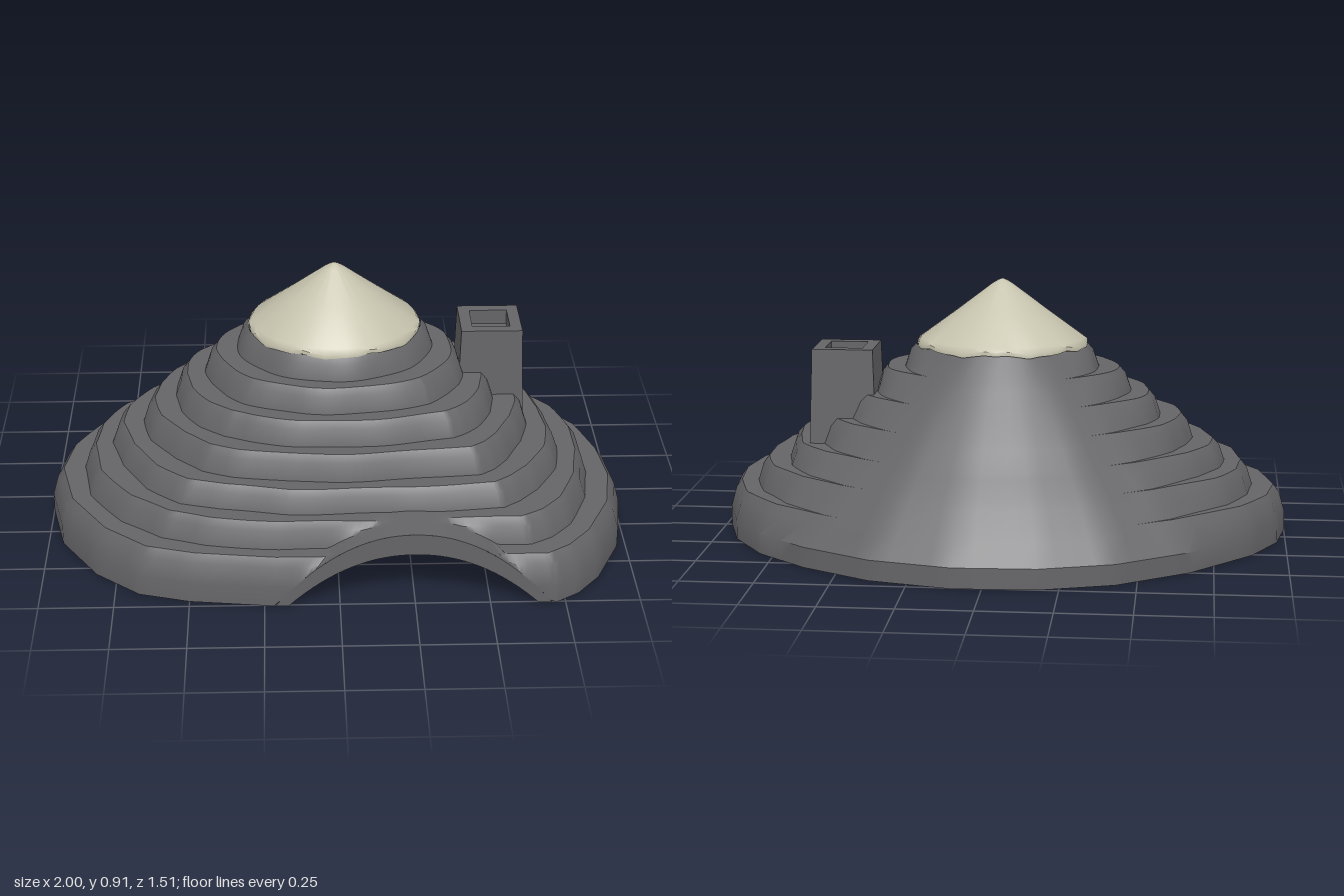
import * as THREE from 'three';
import { toCreasedNormals } from 'three/addons/utils/BufferGeometryUtils.js';

const { lerp, smoothstep } = THREE.MathUtils;

// Grid surface through rows of points; columns run counter-clockwise seen from above
function loft(rows, closed, crease = 0.6) {
  const n = rows[0].length, index = [];
  for (let r = 0; r < rows.length - 1; r++) {
    for (let j = 0; j < (closed ? n : n - 1); j++) {
      const a = r * n + j, b = r * n + (j + 1) % n;
      index.push(a, b, b + n, a, b + n, a + n);
    }
  }
  const g = new THREE.BufferGeometry();
  g.setAttribute('position', new THREE.Float32BufferAttribute(rows.flat(2), 3));
  g.setIndex(index);
  return toCreasedNormals(g, crease);
}

// Eaves outline as [x, z], starting with the straight front edge
const OUTLINE = [
  [-0.22, 0.755], [0.72, 0.755], [0.8, 0.7], [0.88, 0.6], [0.97, 0.4], [1, 0.2], [0.98, 0],
  [0.92, -0.2], [0.8, -0.39], [0.62, -0.55], [0.38, -0.69], [0.1, -0.76], [-0.18, -0.75],
  [-0.43, -0.67], [-0.67, -0.5], [-0.88, -0.26], [-0.97, -0.08], [-1, 0.1], [-0.95, 0.33],
  [-0.82, 0.54], [-0.67, 0.67], [-0.5, 0.72],
];
const LEVELS = [0.07, 0.17, 0.26, 0.34, 0.43, 0.515, 0.6, 0.68];
const ARCH = { x: 0.245, front: 0.755, back: 0.42, inW: 0.415, inH: 0.19, outW: 0.46, outH: 0.265 };

const arc = (k, h) => h * Math.max(0, 1 - Math.abs(k) ** 2.1);

function thatchRoof() {
  // Subdivide the outline, finely along the arched front edge
  const eaves = OUTLINE.flatMap(([x, z], i) => {
    const [x2, z2] = OUTLINE[(i + 1) % OUTLINE.length], n = i ? 4 : 44;
    return Array.from({ length: n }, (_, k) => [lerp(x, x2, k / n), lerp(z, z2, k / n)]);
  });
  // Ring at a given step; steps melt into a plain slope towards the back
  const ring = (y, step, stepped, plain) => eaves.map(([x, z]) => {
    const len = Math.hypot(x, z), dx = x / len, dz = z / len;
    const s = smoothstep(dz, -0.75, -0.15);
    const t = step + lerp(plain, stepped, s);
    const a = Math.atan2(z, x);
    const wobble = step > 0 ? 1 + 0.008 * s * Math.sin(a * 9 + step * 2.3) : 1;
    const px = lerp(x, dx * 0.34, t / 6) * wobble;
    const pz = lerp(z, dz * (dz > 0 ? 0.3 : 0.335), t / 6) * wobble;
    // Lift the thatch over the entrance
    const lift = pz > 0.45 ? arc((px - ARCH.x) / ARCH.outW, ARCH.outH) : 0;
    return [px, Math.max(y, lift), pz];
  });
  const rows = [ring(0, 0, 0, 0)];
  for (let i = 0; i < LEVELS.length - 1; i++) {
    const y = LEVELS[i], top = LEVELS[i + 1];
    rows.push(ring(y, i, 0, 0));
    rows.push(ring(lerp(y, top, 0.7), i, 0.18, 0.7));
    rows.push(ring(top, i, 0.38, 1));
  }
  return loft(rows, true);
}

// Back wall, sloping ceiling and front rim of the arched entrance
function entranceArch() {
  const rows = [[], [], [], []];
  for (let i = 0; i <= 40; i++) {
    const k = i / 20 - 1, xIn = ARCH.x + ARCH.inW * k, yIn = arc(k, ARCH.inH);
    rows[0].push([xIn, 0, ARCH.back]);
    rows[1].push([xIn, Math.min(yIn, 0.07), ARCH.back]);
    rows[2].push([xIn, yIn, ARCH.front]);
    rows[3].push([ARCH.x + ARCH.outW * k, arc(k, ARCH.outH), ARCH.front]);
  }
  return loft(rows, false);
}

// Flat underside with the entrance cut out of its front edge
function underside() {
  const l = ARCH.x - ARCH.inW, r = ARCH.x + ARCH.inW;
  const pts = [...OUTLINE, OUTLINE[0], [l, ARCH.front], [l, ARCH.back], [r, ARCH.back], [r, ARCH.front]];
  const order = [...pts.slice(-4), ...OUTLINE.slice(1), OUTLINE[0]];
  return new THREE.ShapeGeometry(new THREE.Shape(order.map(p => new THREE.Vector2(...p)))).rotateX(Math.PI / 2);
}

// Straw cap with an uneven lower edge
function strawCap() {
  const profile = [[0.24, 0.67], [0.298, 0.676], [0.298, 0.69], [0.285, 0.705], [0.16, 0.797], [0.035, 0.892], [0.015, 0.904], [0, 0.91]];
  const g = new THREE.LatheGeometry(profile.map(p => new THREE.Vector2(...p)), 48);
  const p = g.attributes.position;
  for (let i = 0; i < p.count; i++) {
    if (p.getY(i) > 0.695) continue;
    const a = Math.atan2(p.getZ(i), p.getX(i));
    p.setY(i, p.getY(i) + 0.005 * Math.sin(a * 7) + 0.003 * Math.sin(a * 17));
  }
  g.scale(1, 1, 0.925);
  return toCreasedNormals(g, 0.8);
}

const square = (Type, h) => new Type([[-h, -h], [h, -h], [h, h], [-h, h]].map(p => new THREE.Vector2(...p)));

export function createModel() {
  const thatch = new THREE.MeshStandardMaterial({ color: 0x656568 });
  const straw = new THREE.MeshStandardMaterial({ color: 0xc5c2ad });
  const model = new THREE.Group();
  const add = (name, geometry, material, parent = model) => {
    const mesh = new THREE.Mesh(geometry, material);
    mesh.name = name;
    parent.add(mesh);
    return mesh;
  };

  add('thatchRoof', thatchRoof(), thatch);
  add('entranceArch', entranceArch(), thatch);
  add('underside', underside(), thatch);
  add('strawCap', strawCap(), straw);

  // Tapered chimney with a shallow square flue
  const chimney = new THREE.Group();
  chimney.name = 'chimney';
  chimney.position.set(0.546, 0.3, -0.04);
  model.add(chimney);
  const frame = square(THREE.Shape, 0.118);
  frame.holes.push(square(THREE.Path, 0.073));
  const walls = new THREE.ExtrudeGeometry(frame, { depth: 0.372, bevelEnabled: false }).rotateX(-Math.PI / 2);
  const p = walls.attributes.position;
  for (let i = 0; i < p.count; i++) {
    const s = lerp(1, 0.9, p.getY(i) / 0.372);
    p.setX(i, p.getX(i) * s);
    p.setZ(i, p.getZ(i) * s);
  }
  walls.computeVertexNormals();
  add('chimneyWalls', walls, thatch, chimney);
  add('flueFloor', new THREE.BoxGeometry(0.15, 0.02, 0.15), thatch, chimney).position.y = 0.31;
  return model;
}
